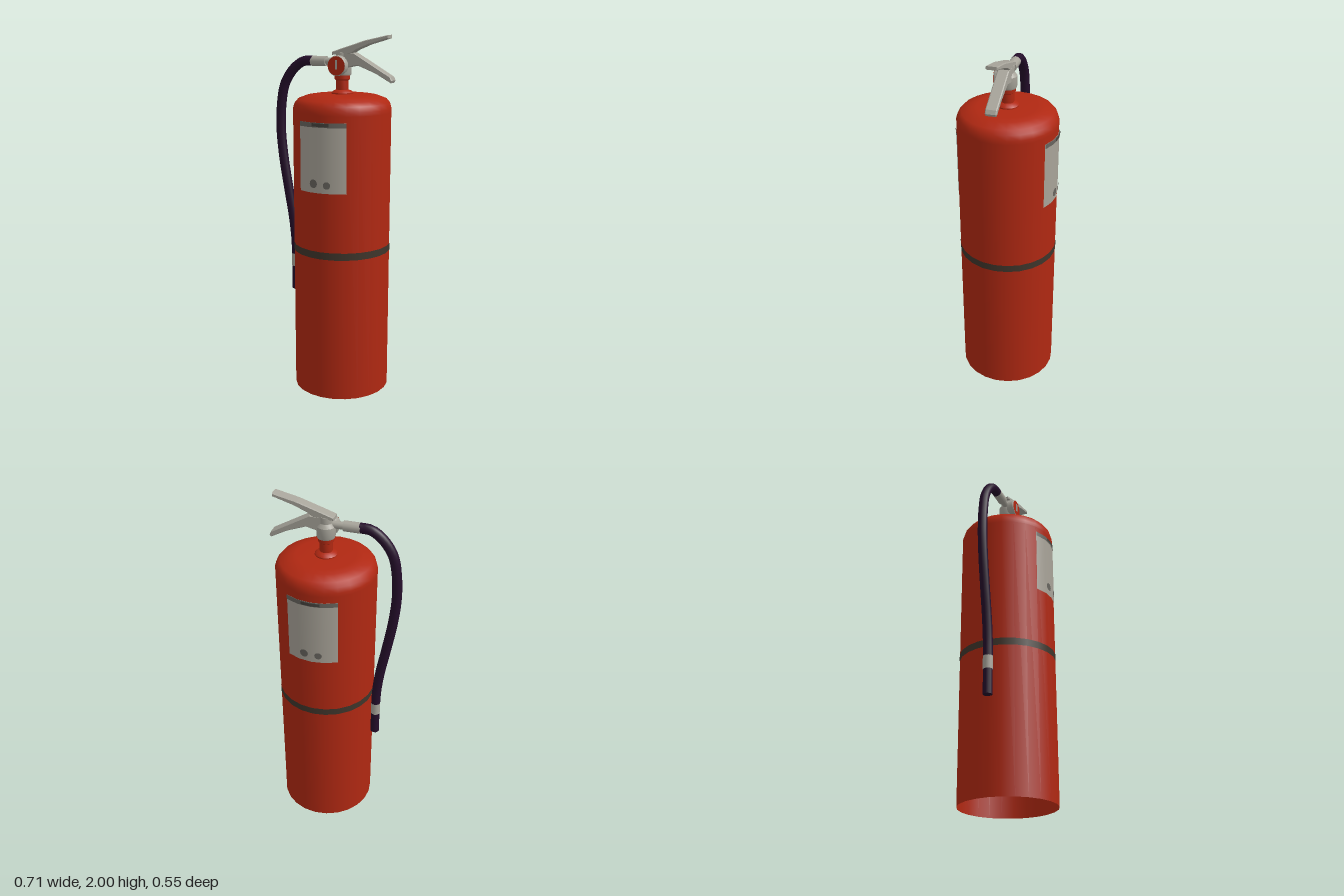
import * as THREE from 'three';
import { toCreasedNormals } from 'three/addons/utils/BufferGeometryUtils.js';

const CX = 0.055; // tank axis
const HOSE_Z = 0.007;
const HOSE_R = 0.027;

function material(name, color, side = THREE.FrontSide) {
  const m = new THREE.MeshStandardMaterial({ color, side });
  m.name = name;
  return m;
}

export function createModel() {
  const group = new THREE.Group();
  const red = material('red paint', 0xb02812, THREE.DoubleSide);
  const metal = material('grey metal', 0xa8a59b);
  const paper = material('label grey', 0xa8a398);
  const print = material('label print', 0x67645e);
  const ink = material('dark print', 0x45423d);
  const band = material('dark band', 0x3e352b);
  const rubber = material('black rubber', 0x240e2a);

  const add = (name, geometry, mat, x = 0, y = 0, z = 0) => {
    const mesh = new THREE.Mesh(geometry, mat);
    mesh.name = name;
    mesh.position.set(x, y, z);
    group.add(mesh);
    return mesh;
  };
  const lathe = (pts, sides) =>
    new THREE.LatheGeometry(pts.map(([r, y]) => new THREE.Vector2(r, y)), sides);
  const creased = (g) => toCreasedNormals(g, 0.6);

  // Tank, open underneath
  add('tank', lathe([
    [0.27, 0], [0.27, 1.59], [0.27, 1.61], [0.262, 1.638], [0.243, 1.66],
    [0.195, 1.678], [0.157, 1.684], [0.05, 1.686],
  ], 24), red, CX);

  // Neck with its collar
  add('neck', creased(lathe([
    [0.06, 1.68], [0.06, 1.692], [0.05, 1.702], [0.034, 1.708], [0.034, 1.758],
    [0.042, 1.764], [0.042, 1.8], [0, 1.8],
  ], 16)), red, CX);

  // Stripe around the tank
  add('stripe', new THREE.CylinderGeometry(0.272, 0.272, 0.04, 24, 1, true), band, CX, 0.835);

  // Curved patch on the tank wall
  const patch = (r, y0, y1, start, length, segments) => {
    const g = new THREE.CylinderGeometry(r, r, y1 - y0, segments, 1, true, start, length);
    return g.translate(0, (y0 + y1) / 2, 0);
  };
  // Disc bent round the tank wall
  const bentDisc = (r, x, y) => {
    const g = new THREE.CircleGeometry(r, 16).translate(x, y, 0);
    const p = g.attributes.position;
    for (let i = 0; i < p.count; i++) {
      const a = p.getX(i) / 0.27;
      p.setXYZ(i, Math.sin(a) * 0.276, p.getY(i), Math.cos(a) * 0.276);
    }
    g.computeVertexNormals();
    return g;
  };

  // Labels, front and back
  for (const [side, turn] of [['front', 0], ['back', Math.PI]]) {
    const parts = [
      ['Label', patch(0.2725, 1.18, 1.555, -Math.PI / 6, Math.PI / 3, 4), paper],
      ['LabelHeader', patch(0.2745, 1.53, 1.555, -Math.PI / 6, Math.PI / 3, 4), print],
      ['LabelTitle', patch(0.2765, 1.535, 1.552, -0.18, 0.36, 6), ink],
      ['LabelDotA', bentDisc(0.023, -0.04, 1.23), print],
      ['LabelDotB', bentDisc(0.02, 0.037, 1.225), print],
    ];
    for (const [name, g, mat] of parts) add(side + name, g, mat, CX).rotation.y = turn;
  }

  // Valve body
  add('valveBody', creased(lathe([
    [0, 1.785], [0.046, 1.785], [0.05, 1.795], [0.05, 1.85], [0.036, 1.87], [0.036, 1.905], [0, 1.905],
  ], 16)), metal, CX);

  // Pressure gauge
  const gauge = add('gaugeCase', creased(lathe([
    [0, 0.02], [0.05, 0.02], [0.055, 0.027], [0.055, 0.057], [0.051, 0.063], [0, 0.063],
  ], 20)), metal, 0.048, 1.837);
  gauge.rotation.x = Math.PI / 2;
  add('gaugeFace', new THREE.CircleGeometry(0.051, 20), red, 0.048, 1.837, 0.0645);
  add('gaugeNeedle', new THREE.BoxGeometry(0.012, 0.05, 0.003), metal, 0.048, 1.842, 0.066);

  // Levers, extruded from their side outlines
  const lever = (name, outline) => {
    const shape = new THREE.Shape(outline.map(([x, y]) => new THREE.Vector2(x, y)));
    const g = new THREE.ExtrudeGeometry(shape, {
      depth: 0.05, bevelEnabled: true, bevelThickness: 0.005, bevelSize: 0.004,
      bevelOffset: -0.004, bevelSegments: 1,
    });
    add(name, g.translate(0, 0, -0.025), metal);
  };
  lever('topLever', [
    [0.005, 1.893], [0.115, 1.9], [0.15, 1.922], [0.22, 1.95], [0.33, 1.982],
    [0.33, 2.0], [0.2, 1.972], [0.06, 1.928], [0.005, 1.91],
  ]);
  lever('lowerLever', [
    [0.06, 1.82], [0.1, 1.828], [0.155, 1.84], [0.26, 1.8], [0.348, 1.752],
    [0.355, 1.765], [0.345, 1.785], [0.135, 1.905], [0.06, 1.905],
  ]);

  // Hose fittings at the valve
  const sleeve = (name, r, length, x) => {
    add(name, new THREE.CylinderGeometry(r, r, length, 12), metal, x, 1.858, HOSE_Z)
      .rotation.z = Math.PI / 2;
  };
  sleeve('hoseFitting', 0.0275, 0.09, -0.082);
  sleeve('hoseStem', 0.02, 0.08, -0.005);

  // Hose
  const path = new THREE.CatmullRomCurve3([
    [-0.12, 1.859], [-0.18, 1.855], [-0.24, 1.815], [-0.298, 1.73], [-0.323, 1.61], [-0.328, 1.47],
    [-0.314, 1.315], [-0.284, 1.13], [-0.256, 0.97], [-0.241, 0.84], [-0.237, 0.74],
  ].map(([x, y]) => new THREE.Vector3(x, y, HOSE_Z)));
  add('hose', new THREE.TubeGeometry(path, 48, HOSE_R, 12), rubber);

  // Nozzle at the hose end
  add('nozzleCollar', new THREE.CylinderGeometry(0.0275, 0.0275, 0.075, 12), metal, -0.237, 0.7075, HOSE_Z);
  add('nozzle', new THREE.CylinderGeometry(0.026, 0.026, 0.14, 12), rubber, -0.237, 0.6, HOSE_Z);

  return group;
}
